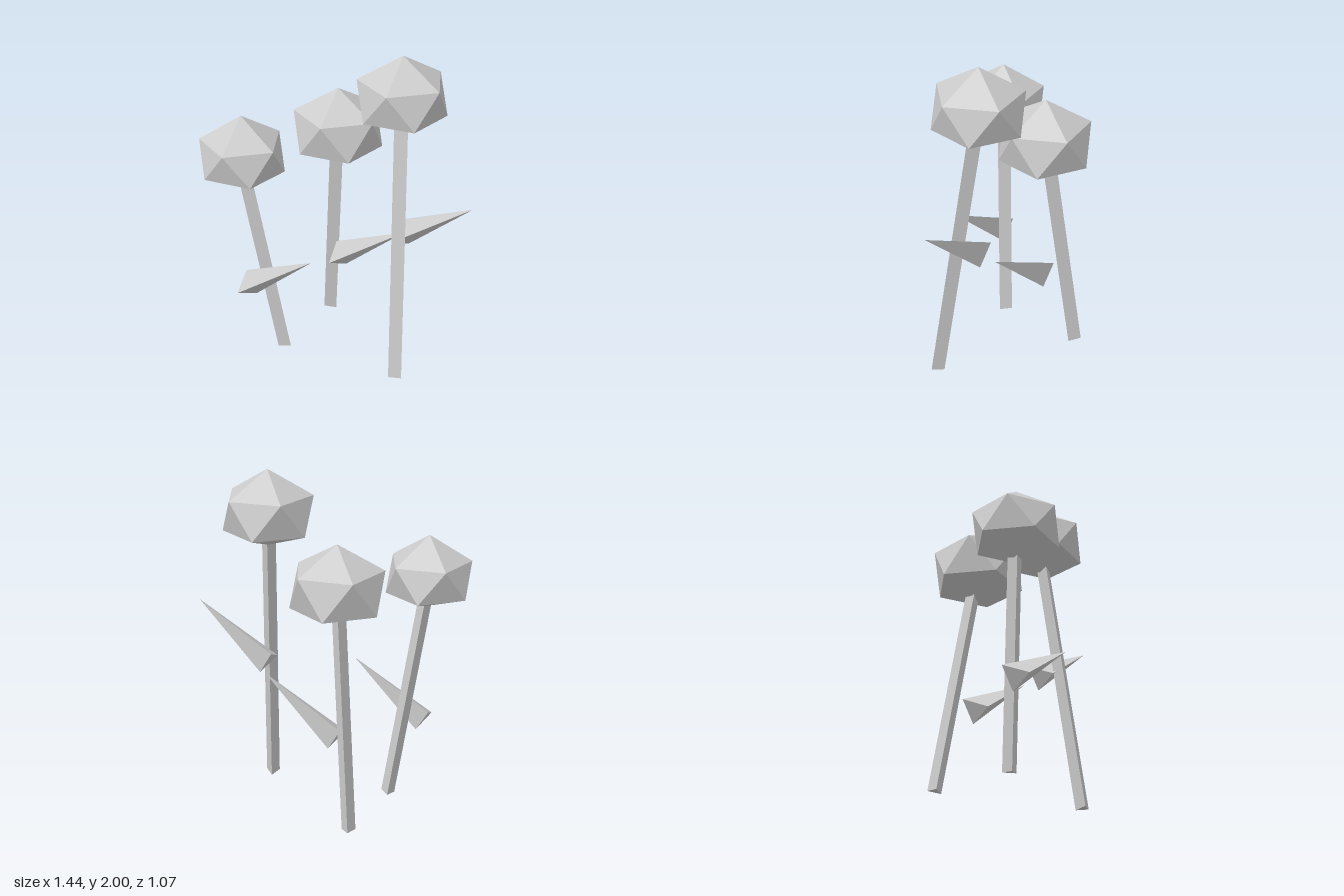
import * as THREE from 'three';
import { ConvexGeometry } from 'three/addons/geometries/ConvexGeometry.js';

const V = (x, y, z) => new THREE.Vector3(x, y, z);
const grey = new THREE.MeshStandardMaterial({ color: 0xcccccc, flatShading: true });

function part(name, geometry) {
  const mesh = new THREE.Mesh(geometry, grey);
  mesh.name = name;
  return mesh;
}

// Three-sided stalk leaning from base to top
function stem(base, top) {
  const axis = top.clone().sub(base);
  const geo = new THREE.CylinderGeometry(0.046, 0.046, axis.length(), 3, 1, false, Math.PI / 2);
  const mesh = part('stem', geo);
  mesh.quaternion.setFromUnitVectors(V(0, 1, 0), axis.normalize());
  mesh.position.copy(base).add(top).multiplyScalar(0.5);
  return mesh;
}

// Squashed twenty-sided head: tip, two staggered rings of five, flattened bottom
function head(x, z, radius, [tip, upper, lower, bottom]) {
  const points = [V(x, tip, z), V(x, bottom, z)];
  for (let i = 0; i < 5; i++) {
    const a = (i * Math.PI * 2) / 5;
    const dx = Math.cos(a) * radius, dz = Math.sin(a) * radius;
    points.push(V(x + dx, upper, z + dz), V(x - dx, lower, z - dz));
  }
  return part('flowerHead', new ConvexGeometry(points));
}

// Three-sided spike leaf, placed by its lowest corner
function leaf(corner) {
  const points = [V(0, 0, 0), V(-0.084, 0.132, 0), V(-0.018, 0.063, 0.148), V(0.428, 0.374, -0.026)];
  const mesh = part('leaf', new ConvexGeometry(points));
  mesh.position.copy(corner);
  return mesh;
}

const flowers = [
  {
    name: 'frontFlower', base: V(-0.34, 0.01, 0.114), top: V(-0.47, 1.23, 0.282),
    head: [-0.481, 0.294, 0.247, [1.61, 1.455, 1.264, 1.183]], leaf: V(-0.447, 0.405, 0.246),
  },
  {
    name: 'middleFlower', base: V(-0.421, 0.01, -0.415), top: V(-0.27, 1.25, -0.302),
    head: [-0.249, -0.287, 0.265, [1.655, 1.505, 1.288, 1.205]], leaf: V(-0.22, 0.44, -0.336),
  },
  {
    name: 'tallFlower', base: V(0.4, 0.01, -0.066), top: V(0.26, 1.61, -0.248),
    head: [0.246, -0.264, 0.258, [2.0, 1.85, 1.645, 1.56]], leaf: V(0.283, 0.788, -0.318),
  },
];

export function createModel() {
  const model = new THREE.Group();
  model.name = 'flowers';
  for (const f of flowers) {
    const flower = new THREE.Group();
    flower.name = f.name;
    flower.add(stem(f.base, f.top), head(...f.head), leaf(f.leaf));
    model.add(flower);
  }
  return model;
}
